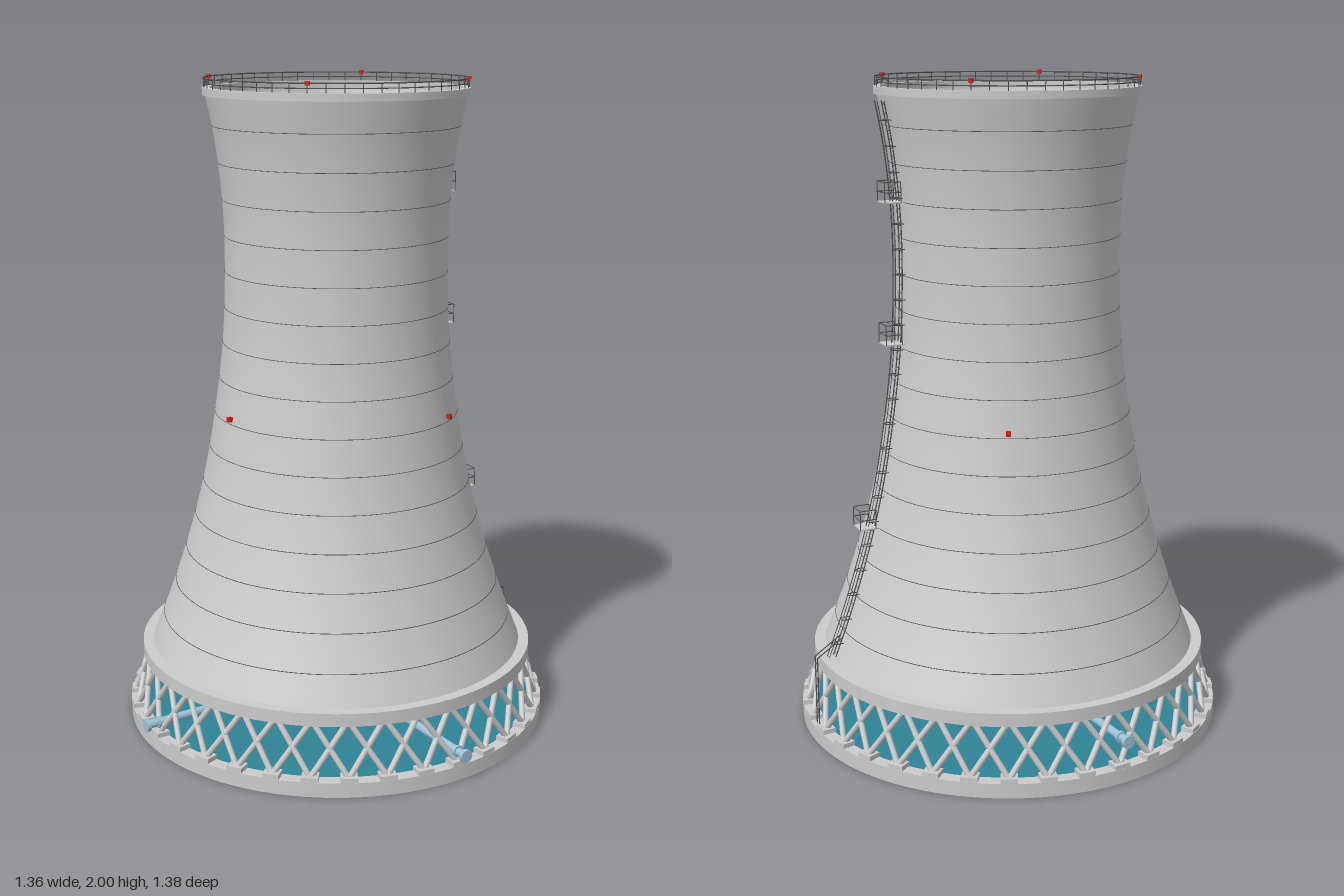
import * as THREE from 'three';
import { mergeGeometries, toCreasedNormals } from 'three/addons/utils/BufferGeometryUtils.js';

const TAU = Math.PI * 2;
const mat = (color) => new THREE.MeshStandardMaterial({ color });
const V2 = (x, y) => new THREE.Vector2(x, y);
const polar = (r, a, y) => new THREE.Vector3(r * Math.cos(a), y, r * Math.sin(a));

// Shell radius at a height, from a smooth curve through a few profile points
const profile = new THREE.CatmullRomCurve3([
  [0.595, 0.22], [0.525, 0.4], [0.46, 0.6], [0.41, 0.8], [0.375, 1.0],
  [0.35, 1.2], [0.34, 1.4], [0.342, 1.6], [0.362, 1.8], [0.39, 1.95],
].map(([r, y]) => new THREE.Vector3(r, y, 0)));
const samples = profile.getPoints(45);
function radiusAt(y) {
  let i = 1;
  while (i < samples.length - 1 && samples[i].y < y) i++;
  const a = samples[i - 1], b = samples[i];
  return THREE.MathUtils.lerp(a.x, b.x, THREE.MathUtils.clamp((y - a.y) / (b.y - a.y), 0, 1));
}

// Round bar between two points
function bar(a, b, r, sides = 6) {
  const g = new THREE.CylinderGeometry(r, r, a.distanceTo(b), sides);
  const dir = b.clone().sub(a).normalize();
  g.applyQuaternion(new THREE.Quaternion().setFromUnitVectors(new THREE.Vector3(0, 1, 0), dir));
  return g.translate((a.x + b.x) / 2, (a.y + b.y) / 2, (a.z + b.z) / 2);
}

// Ring of rectangular section
function ring(r0, r1, y0, y1, seg = 96) {
  const pts = [V2(r0, y0), V2(r1, y0), V2(r1, y1), V2(r0, y1), V2(r0, y0)];
  return toCreasedNormals(new THREE.LatheGeometry(pts, seg), 0.5);
}
const hoop = (r, tube, y, seg = 96) =>
  new THREE.TorusGeometry(r, tube, 4, seg).rotateX(Math.PI / 2).translate(0, y, 0);

// Box placed at a polar position, its x axis pointing outward
function radialBox(w, h, d, r, a, y) {
  return new THREE.BoxGeometry(w, h, d).translate(r, y, 0).rotateY(-a);
}

export function createModel() {
  const model = new THREE.Group();
  model.name = 'coolingTower';
  const grey = mat(0xcccccc), steel = mat(0x555555), slatGrey = mat(0x56616a);
  const teal = mat(0x2f8496), blue = mat(0x9cc3d8), red = mat(0xcc2020);
  const add = (name, geo, material) => {
    const mesh = new THREE.Mesh(Array.isArray(geo) ? mergeGeometries(geo) : geo, material);
    mesh.name = name;
    model.add(mesh);
  };

  // Basin with water
  add('basinFloor', new THREE.CylinderGeometry(0.662, 0.662, 0.025, 96).translate(0, 0.0125, 0), grey);
  add('basinWall', ring(0.625, 0.664, 0, 0.045), grey);
  add('water', new THREE.CylinderGeometry(0.626, 0.626, 0.01, 96).translate(0, 0.033, 0), teal);

  // Crossed columns on pedestals
  const columns = [], pedestals = [];
  const N = 36;
  for (let i = 0; i < N; i++) {
    const a = (i / N) * TAU;
    pedestals.push(radialBox(0.04, 0.018, 0.05, 0.643, a, 0.05));
    for (const s of [-1, 1]) {
      columns.push(bar(polar(0.645, a, 0.05), polar(0.604, a + (s * TAU) / N, 0.21), 0.009, 8));
    }
  }
  add('pedestals', pedestals, grey);
  add('columns', columns, grey);

  // Shell: ring beam, outer and inner faces, top rim
  add('ringBeam', ring(0.58, 0.62, 0.2, 0.24), grey);
  add('shellOutside', new THREE.LatheGeometry(samples.map((p) => V2(p.x, p.y)), 96), grey);
  add('shellInside', new THREE.LatheGeometry(samples.map((p) => V2(p.x - 0.012, p.y)).reverse(), 96), grey);
  add('topRim', ring(0.376, 0.398, 1.945, 1.967), grey);

  // Fine lift joints around the shell
  const joints = [];
  for (let i = 0; i < 15; i++) {
    const y = 0.33 + i * 0.109;
    joints.push(hoop(radiusAt(y) - 0.0005, 0.0014, y));
  }
  add('shellJoints', joints, steel);

  // Fill deck with radial slats, open centre with spokes
  add('fillDeck', ring(0.135, 0.585, 0.205, 0.211), grey);
  const slats = [];
  for (let i = 0; i < 72; i++) {
    slats.push(radialBox(0.44, 0.014, 0.022, 0.356, (i / 72) * TAU, 0.219));
  }
  add('fillSlats', slats, slatGrey);
  const spokes = [];
  for (let i = 0; i < 12; i++) {
    spokes.push(radialBox(0.135, 0.01, 0.008, 0.0675, (i / 12) * TAU, 0.212));
  }
  add('centreSpokes', spokes, slatGrey);
  add('centreHub', new THREE.CylinderGeometry(0.014, 0.014, 0.19, 16).translate(0, 0.125, 0), blue);
  add('centreRim', ring(0.13, 0.139, 0.2, 0.228, 64), grey);

  // Water pipes with end flanges
  const pipes = [];
  for (const [a, y] of [[Math.PI, 0.085], [Math.PI / 2, 0.085], [-Math.PI / 2, 0.14]]) {
    pipes.push(bar(polar(0, a, y), polar(0.68, a, y), 0.0125, 16));
    pipes.push(bar(polar(0.68, a, y), polar(0.692, a, y), 0.02, 16));
    pipes.push(bar(polar(0.645, a, y), polar(0.653, a, y), 0.018, 16));
  }
  add('waterPipes', pipes, blue);

  // Railing on the rim
  const rails = [hoop(0.393, 0.0016, 1.98), hoop(0.393, 0.002, 1.994)];
  for (let i = 0; i < 48; i++) {
    const a = (i / 48) * TAU;
    rails.push(bar(polar(0.393, a, 1.965), polar(0.393, a, 1.994), 0.0016, 4));
  }
  add('rimRailing', mergeGeometries(rails), steel);

  // Warning lights: four on the rim, three at mid height
  const lights = [];
  for (let i = 0; i < 4; i++) {
    lights.push(radialBox(0.012, 0.012, 0.012, 0.394, TAU / 8 + (i * TAU) / 4, 1.994));
  }
  for (let i = 0; i < 3; i++) {
    lights.push(radialBox(0.02, 0.014, 0.014, 0.378, Math.PI / 3 + (i * TAU) / 3, 1.0));
  }
  add('warningLights', lights, red);

  // Caged ladder, built along +x then turned slightly round the tower
  const ladder = [];
  const at = (y, off, z) => new THREE.Vector3(radiusAt(y) + off, y, z);
  const runs = [[0.01, -0.011], [0.01, 0.011], [0.03, -0.009], [0.03, 0.009], [0.035, 0]];
  runs.forEach(([off, z], k) => {
    const pts = [];
    for (let i = 0; i <= 24; i++) pts.push(at(0.26 + (i / 24) * 1.67, off, z));
    ladder.push(new THREE.TubeGeometry(new THREE.CatmullRomCurve3(pts), 60, k < 2 ? 0.002 : 0.0012, 4));
  });
  for (let y = 0.27; y < 1.93; y += 0.025) {
    ladder.push(bar(at(y, 0.01, -0.011), at(y, 0.01, 0.011), 0.0012, 4));
  }
  for (let y = 0.3; y < 1.93; y += 0.075) {
    const half = new THREE.TorusGeometry(0.0125, 0.0015, 4, 10, Math.PI);
    half.rotateX(Math.PI / 2).rotateY(Math.PI / 2).scale(1.9, 1, 1);
    ladder.push(half.translate(radiusAt(y) + 0.01, y, 0));
    for (const z of [-0.011, 0.011]) ladder.push(bar(at(y, -0.004, z), at(y, 0.01, z), 0.0015, 4));
  }
  // Foot of the ladder standing on the basin
  for (const z of [-0.011, 0.011]) {
    ladder.push(bar(new THREE.Vector3(0.648, 0.045, z), new THREE.Vector3(0.648, 0.265, z), 0.002, 4));
    ladder.push(bar(new THREE.Vector3(0.648, 0.265, z), at(0.32, 0.01, z), 0.002, 4));
  }
  for (let y = 0.07; y < 0.26; y += 0.025) {
    ladder.push(bar(new THREE.Vector3(0.648, y, -0.011), new THREE.Vector3(0.648, y, 0.011), 0.0012, 4));
  }
  const turn = -0.085;
  add('cagedLadder', mergeGeometries(ladder).rotateY(turn), steel);

  // Rest platforms with guard rails
  const decks = [], guards = [];
  for (const y of [0.66, 1.22, 1.64]) {
    const x0 = radiusAt(y) + 0.012, x1 = x0 + 0.05, w = 0.03;
    decks.push(new THREE.BoxGeometry(0.06, 0.004, 2 * w).translate(x1 - 0.03, y, 0));
    const corners = [[x0, -w], [x1, -w], [x1, w], [x0, w]];
    corners.forEach(([x, z], i) => {
      guards.push(bar(new THREE.Vector3(x, y, z), new THREE.Vector3(x, y + 0.06, z), 0.0016, 4));
      if (i === 3) return;
      const [nx, nz] = corners[i + 1];
      for (const h of [0.03, 0.06]) {
        guards.push(bar(new THREE.Vector3(x, y + h, z), new THREE.Vector3(nx, y + h, nz), 0.0016, 4));
      }
    });
  }
  add('restPlatforms', mergeGeometries(decks).rotateY(turn), grey);
  add('platformRails', mergeGeometries(guards).rotateY(turn), steel);

  model.position.x = 0.007;
  return model;
}
